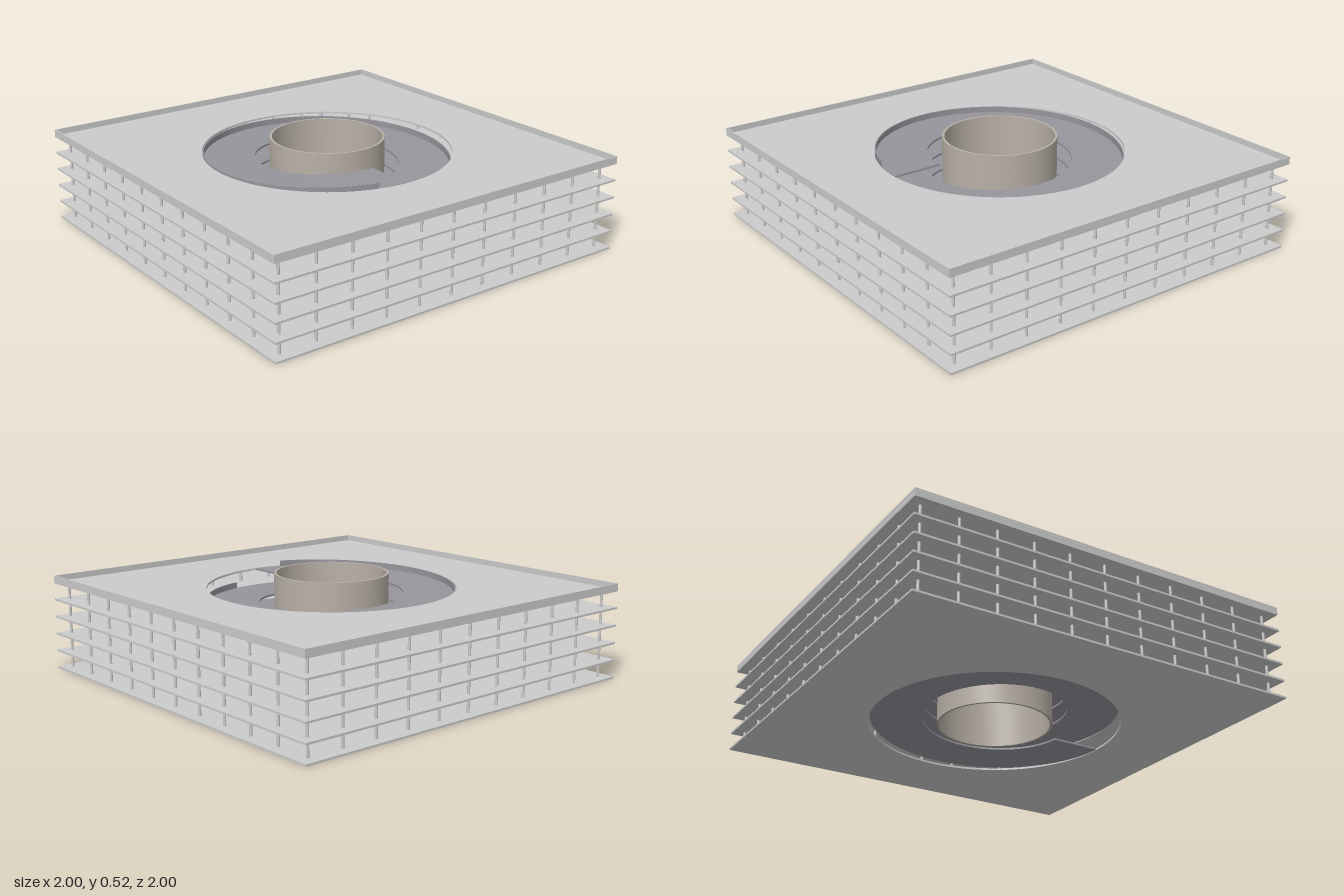
import * as THREE from 'three';
import { toCreasedNormals } from 'three/addons/utils/BufferGeometryUtils.js';

const STOREY = 0.089, FLOORS = 5, SLAB = 0.01, HOLE = 0.622;
const concrete = new THREE.MeshStandardMaterial({ color: 0xcccccc });
const rampGrey = new THREE.MeshStandardMaterial({ color: 0x97959c });
const coreBeige = new THREE.MeshStandardMaterial({ color: 0xb8b0a6 });

function add(parent, name, geometry, material, x = 0, y = 0, z = 0) {
  const mesh = new THREE.Mesh(geometry, material);
  mesh.name = name;
  mesh.position.set(x, y, z);
  parent.add(mesh);
  return mesh;
}

// Square plate lying flat, pierced by a centred hole (round or square)
function plate(half, hole, height) {
  const shape = new THREE.Shape();
  shape.moveTo(-half, -half).lineTo(half, -half).lineTo(half, half).lineTo(-half, half).closePath();
  shape.holes.push(hole);
  const geo = new THREE.ExtrudeGeometry(shape, { depth: height, bevelEnabled: false, curveSegments: 64 });
  return toCreasedNormals(geo.rotateX(-Math.PI / 2), 0.5);
}

// Rectangular section swept up the helix between two angles (0 = +x, rising towards -z)
function helixSweep(r0, r1, y0, y1, from, to) {
  const section = [[r0, y0], [r1, y0], [r1, y1], [r0, y1]];
  const steps = Math.ceil((to - from) / (Math.PI / 36));
  const positions = [], index = [];
  for (let i = 0; i <= steps; i++) {
    const t = from + (to - from) * i / steps;
    for (const [r, y] of section) {
      positions.push(r * Math.cos(t), y + STOREY * t / (2 * Math.PI), -r * Math.sin(t));
    }
  }
  for (let i = 0; i < steps; i++) {
    for (let k = 0; k < 4; k++) {
      const a = i * 4 + k, b = i * 4 + (k + 1) % 4;
      index.push(a, a + 4, b, b, a + 4, b + 4);
    }
  }
  const e = steps * 4;
  index.push(0, 1, 2, 0, 2, 3, e, e + 2, e + 1, e, e + 3, e + 2);
  const geo = new THREE.BufferGeometry();
  geo.setAttribute('position', new THREE.Float32BufferAttribute(positions, 3));
  geo.setIndex(index);
  return toCreasedNormals(geo, 0.6);
}

export function createModel() {
  const model = new THREE.Group();
  model.name = 'parkingGarage';

  // Floor slabs and roof
  const round = new THREE.Path();
  round.absarc(0, 0, HOLE, 0, Math.PI * 2, true);
  const slabGeo = plate(1, round, SLAB);
  for (let i = 0; i <= FLOORS; i++) {
    add(model, i === FLOORS ? 'roofSlab' : 'floorSlab', slabGeo, concrete, 0, i * STOREY, 0);
  }

  // Thin parapet around the roof edge
  const inner = 0.995;
  const square = new THREE.Path();
  square.moveTo(-inner, -inner).lineTo(-inner, inner).lineTo(inner, inner).lineTo(inner, -inner).closePath();
  add(model, 'roofParapet', plate(1, square, 0.03), concrete, 0, FLOORS * STOREY + SLAB, 0);

  // Column grid, left open over the ramp well
  const columns = new THREE.Group();
  columns.name = 'columns';
  model.add(columns);
  const height = FLOORS * STOREY;
  const columnGeo = new THREE.CylinderGeometry(0.007, 0.007, height - 0.004, 10);
  for (let i = -5; i <= 5; i++) {
    for (let j = -5; j <= 5; j++) {
      const x = i * 0.189, z = j * 0.189;
      if (Math.hypot(x, z) > HOLE + 0.02) add(columns, 'column', columnGeo, concrete, x, height / 2 + 0.002, z);
    }
  }

  // Spiral ramp, one turn per storey
  const turn = Math.PI * 2;
  add(model, 'spiralRamp', helixSweep(0.36, 0.619, 0, SLAB, 0, FLOORS * turn), rampGrey);

  // Outer ramp barrier, open where the ramp meets each floor
  const gap = THREE.MathUtils.degToRad(14);
  for (let i = 0; i < FLOORS; i++) {
    add(model, 'rampBarrier',
      helixSweep(0.613, 0.619, SLAB, SLAB + 0.03, i * turn + gap, (i + 1) * turn - gap), rampGrey);
  }

  // Hollow central core
  const profile = [[0.274, 0], [0.286, 0], [0.286, 0.523], [0.274, 0.523], [0.274, 0]]
    .map(([r, y]) => new THREE.Vector2(r, y));
  add(model, 'centralCore', toCreasedNormals(new THREE.LatheGeometry(profile, 64), 0.5), coreBeige);

  return model;
}
